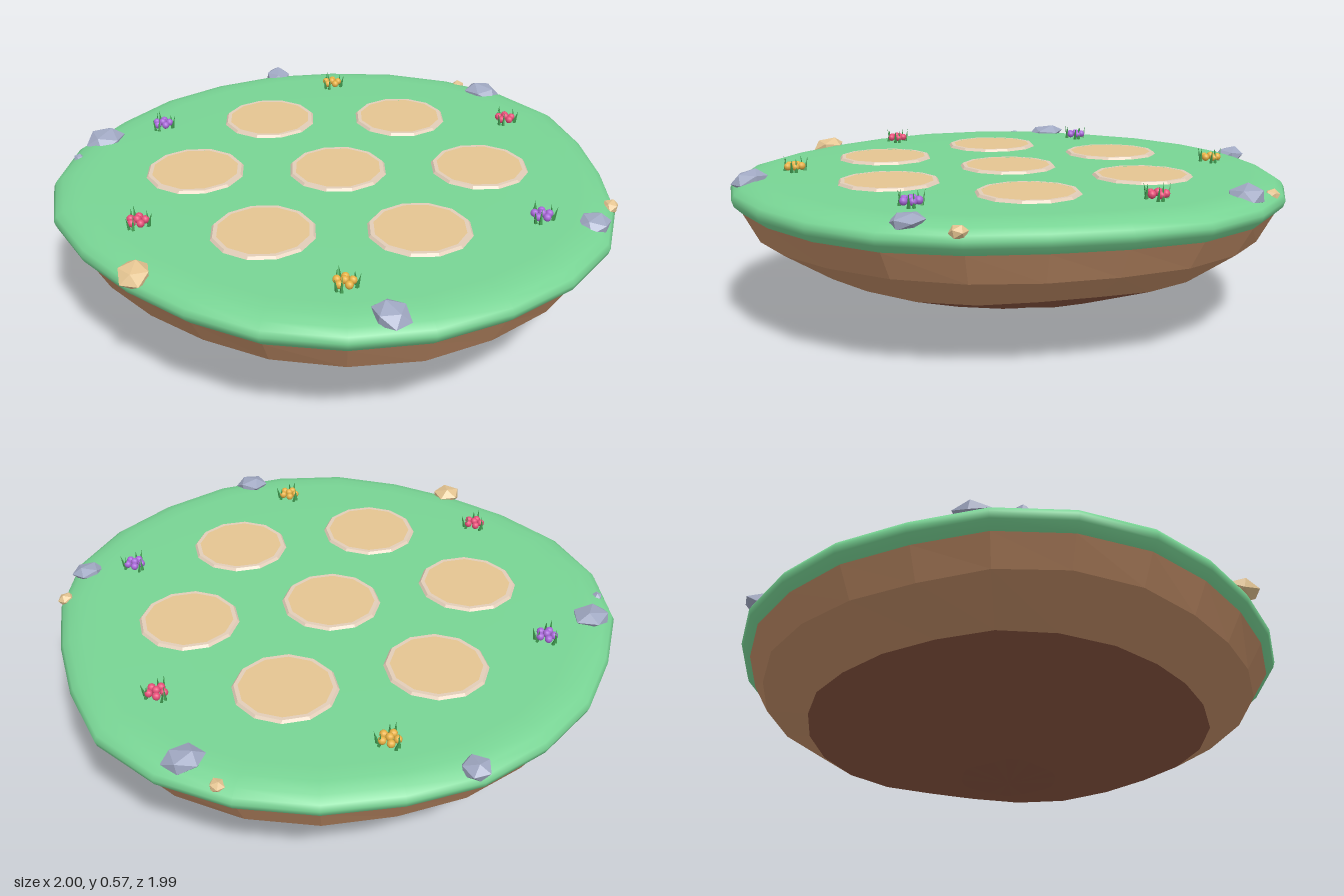
import * as THREE from 'three';

const mat = (name, color, flatShading = true) => {
  const m = new THREE.MeshStandardMaterial({ color, flatShading });
  m.name = name;
  return m;
};

// Outline radius every 15 degrees, from +x towards +z
const OUTLINE = [1.02, 0.98, 0.967, 0.99, 1.015, 1.012, 1.005, 1.01, 1.006, 0.997, 0.972, 0.963,
  0.98, 1.014, 1.028, 1.022, 0.993, 0.994, 0.99, 0.994, 0.988, 1.002, 1.015, 1.024];
const CX = -0.02, CZ = -0.012;

// Surface through scaled outlines; profile rows are [scale, y], listed downwards
function shell(profile, wobble = 0) {
  const n = OUTLINE.length, pos = [], index = [];
  profile.forEach(([s, y]) => OUTLINE.forEach((r, j) => {
    const a = j / n * Math.PI * 2;
    const dy = s < 0.95 && s > 0.1 ? wobble * Math.sin(a * 5 + s * 9) : 0;
    pos.push(Math.cos(a) * r * s, y + dy, Math.sin(a) * r * s);
  }));
  for (let i = 0; i < profile.length - 1; i++) {
    for (let j = 0; j < n; j++) {
      const a = i * n + j, b = i * n + (j + 1) % n;
      index.push(a, b, a + n, b, b + n, a + n);
    }
  }
  const g = new THREE.BufferGeometry();
  g.setAttribute('position', new THREE.Float32BufferAttribute(pos, 3));
  g.setIndex(index);
  g.computeVertexNormals();
  return g;
}

export function createModel() {
  const model = new THREE.Group();
  const grass = mat('grass green', 0x78d494, false);
  const soil = mat('soil brown', 0xc08c66);
  const deep = mat('deep earth brown', 0x885440);
  const sand = mat('sand tan', 0xe4c491);
  const rim = mat('pad rim beige', 0xe2cdb8);
  const grey = mat('rock grey', 0xa0a8c2);
  const leaf = mat('leaf green', 0x409a50);
  const petals = {
    red: mat('petal red', 0xf0527e, false),
    yellow: mat('petal yellow', 0xf0b848, false),
    purple: mat('petal purple', 0xa868d8, false),
  };

  const add = (parent, name, geometry, material, x = 0, y = 0, z = 0) => {
    const m = new THREE.Mesh(geometry, material);
    m.name = name;
    m.position.set(x, y, z);
    parent.add(m);
    return m;
  };

  // Island: rounded turf over two rings of soil and a deep bowl
  const turf = [[0, 0.516], [0.5, 0.516], [0.86, 0.516], [0.92, 0.513], [0.965, 0.5],
    [0.99, 0.483], [1, 0.465], [0.993, 0.443], [0.965, 0.417]];
  add(model, 'turf', shell(turf), grass, CX, 0, CZ);
  add(model, 'soil', shell([[0.965, 0.417], [0.91, 0.318], [0.74, 0.205]], 0.005), soil, CX, 0, CZ);
  add(model, 'deepEarth', shell([[0.74, 0.205], [0.43, 0.095], [0.17, 0.02], [0, 0]], 0.005), deep, CX, 0, CZ);

  // Seven twelve-sided pads, each a bevelled rim around a sand disc
  const edge = new THREE.CylinderGeometry(0.17, 0.18, 0.012, 12, 1, true).rotateY(Math.PI / 12);
  const ring = new THREE.RingGeometry(0.156, 0.17, 12).rotateX(-Math.PI / 2).rotateY(Math.PI / 12);
  const disc = new THREE.CircleGeometry(0.157, 12).rotateX(-Math.PI / 2).rotateY(Math.PI / 12);
  const pads = [[0, 0]];
  for (let i = 0; i < 6; i++) {
    const a = Math.PI / 6 + i * Math.PI / 3;
    pads.push([Math.cos(a) * 0.514, Math.sin(a) * 0.514]);
  }
  pads.forEach(([x, z]) => {
    const pad = new THREE.Group();
    pad.name = 'pad';
    pad.position.set(CX + x, 0, CZ + z);
    add(pad, 'padEdge', edge, rim, 0, 0.519, 0);
    add(pad, 'padRim', ring, rim, 0, 0.525, 0);
    add(pad, 'padSand', disc, sand, 0, 0.5245, 0);
    model.add(pad);
  });

  // Faceted rocks half sunk along the rim: x, y, z, radius, height radius, turn
  const rock = new THREE.IcosahedronGeometry(1, 0);
  const rocks = [
    [-0.64, 0.512, -0.7, 0.08, 0.035, 0.5, grey], [0.24, 0.5, -0.93, 0.06, 0.036, 1.1, grey],
    [0.87, 0.51, -0.305, 0.075, 0.037, 2.1, grey], [0.505, 0.508, 0.765, 0.064, 0.03, 0.2, grey],
    [-0.37, 0.512, 0.855, 0.068, 0.036, 1.7, grey], [-0.775, 0.497, -0.63, 0.022, 0.018, 0.8, grey],
    [-0.92, 0.506, 0.245, 0.065, 0.036, 0.9, sand], [0.655, 0.492, 0.685, 0.033, 0.024, 0.3, sand],
    [0.855, 0.491, -0.45, 0.03, 0.024, 1.4, sand],
  ];
  rocks.forEach(([x, y, z, r, h, turn, material]) => {
    const m = add(model, 'rock', rock, material, x, y, z);
    m.scale.set(r, h, r * 0.88);
    m.rotation.set(0.12, turn, 0.1);
  });

  // Flowers: a cluster of round petals among spiky leaves
  const bead = new THREE.SphereGeometry(0.0138, 10, 8);
  const blade = new THREE.ConeGeometry(0.007, 0.055, 4).translate(0, 0.0275, 0);
  const flowers = [[-0.41, -0.68, 'purple'], [0.365, -0.685, 'yellow'], [-0.795, -0.015, 'red'],
    [0.755, -0.015, 'red'], [-0.41, 0.66, 'yellow'], [0.365, 0.66, 'purple']];
  flowers.forEach(([x, z, color]) => {
    const flower = new THREE.Group();
    flower.name = 'flower';
    flower.position.set(x, 0.513, z);
    add(flower, 'flowerCentre', bead, petals[color], 0, 0.027, 0);
    for (let i = 0; i < 5; i++) {
      const a = i / 5 * Math.PI * 2 + Math.PI / 2;
      add(flower, 'petal', bead, petals[color], Math.cos(a) * 0.026, 0.022, Math.sin(a) * 0.026);
    }
    for (let i = 0; i < 3; i++) {
      const a = i / 3 * Math.PI * 2 + Math.PI / 6;
      const tuft = new THREE.Group();
      tuft.name = 'leaf';
      tuft.rotation.y = -a;
      [-0.008, 0.008].forEach((dz, k) => {
        add(tuft, 'blade', blade, leaf, 0.036, 0, dz).rotation.z = k ? -0.25 : 0.1;
      });
      flower.add(tuft);
    }
    model.add(flower);
  });
  return model;
}
